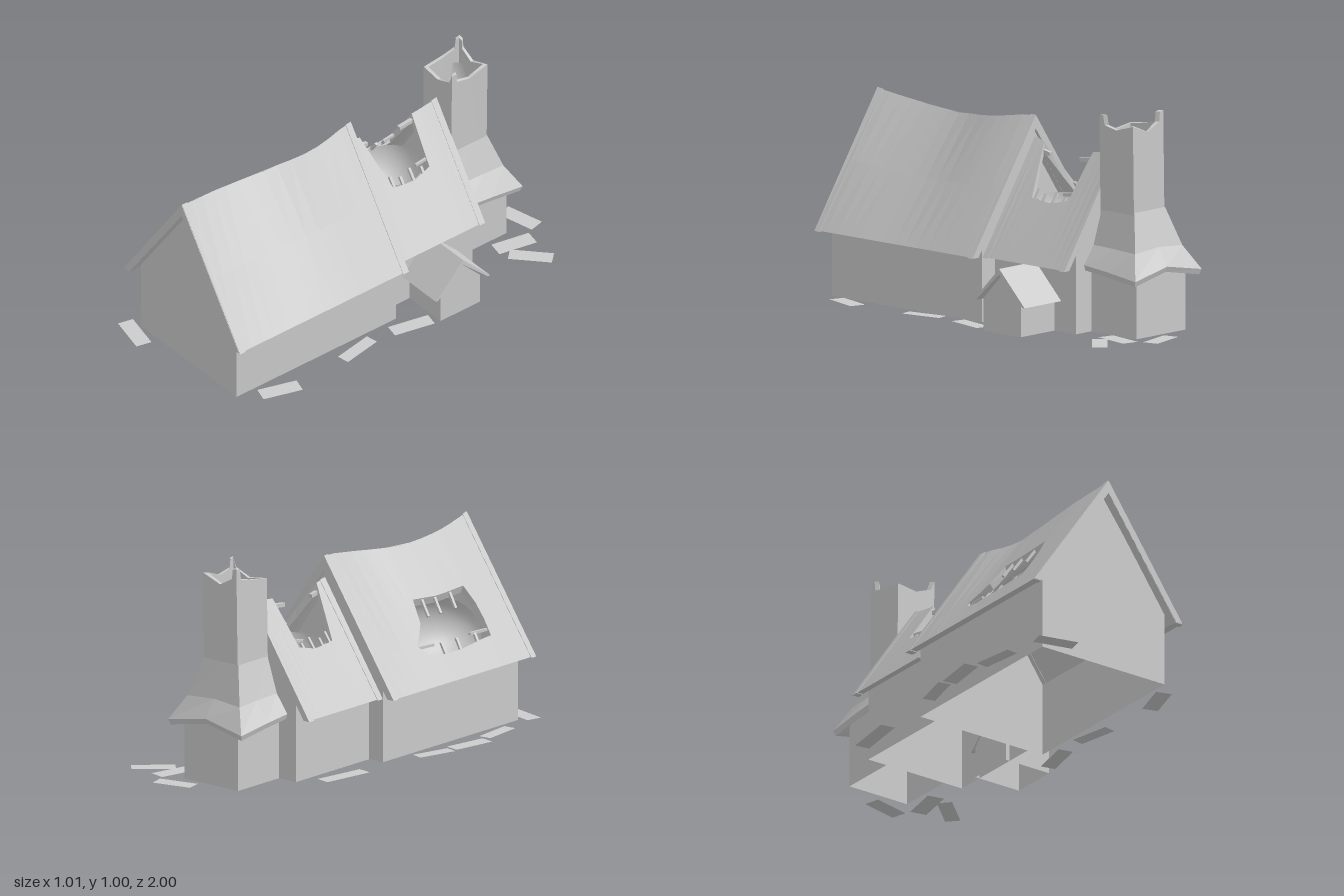
import * as THREE from 'three';

const flat = new THREE.MeshStandardMaterial({ color: 0xcccccc, flatShading: true, side: THREE.DoubleSide });
const smooth = new THREE.MeshStandardMaterial({ color: 0xcccccc, side: THREE.DoubleSide });
const V = (x, y, z) => new THREE.Vector3(x, y, z);

function add(parent, name, geometry, material = flat) {
  const mesh = new THREE.Mesh(geometry, material);
  mesh.name = name;
  parent.add(mesh);
  return mesh;
}

// Surface through closed cross-sections, with flat ends or joined into a ring
function skin(sections, { ring = false, caps = true, open = false } = {}) {
  const n = sections[0].length, pos = [], idx = [];
  sections.forEach(s => s.forEach(p => pos.push(p.x, p.y, p.z)));
  const rows = ring ? sections.length : sections.length - 1;
  for (let i = 0; i < rows; i++) {
    for (let j = 0; j < (open ? n - 1 : n); j++) {
      const a = i * n + j, b = i * n + (j + 1) % n;
      const c = ((i + 1) % sections.length) * n;
      const d = c + j, e = c + (j + 1) % n;
      idx.push(a, b, e, a, e, d);
    }
  }
  if (!ring && caps) {
    const last = (sections.length - 1) * n;
    for (let j = 1; j < n - 1; j++) idx.push(0, j + 1, j, last, last + j, last + j + 1);
  }
  const g = new THREE.BufferGeometry();
  g.setAttribute('position', new THREE.Float32BufferAttribute(pos, 3));
  g.setIndex(idx);
  g.computeVertexNormals();
  return g;
}

// Hollow walls with two gable ends, open underneath
function walls(parent, name, w, side, apex, z0, z1) {
  const shape = new THREE.Shape([[-w, 0], [w, 0], [w, side], [0, apex], [-w, side]].map(p => new THREE.Vector2(...p)));
  add(parent, name + 'FrontGable', new THREE.ShapeGeometry(shape)).position.z = z1;
  const back = add(parent, name + 'BackGable', new THREE.ShapeGeometry(shape));
  back.position.z = z0;
  back.rotation.y = Math.PI;
  for (const s of [-1, 1]) {
    const m = add(parent, name + 'SideWall', new THREE.PlaneGeometry(z1 - z0, side));
    m.position.set(s * w, side / 2, (z0 + z1) / 2);
    m.rotation.y = s * Math.PI / 2;
  }
}

// Points on the upper and lower face of a pitched roof, u measured from the ridge
function roofPoint(r, s, u, z, lower, lift = 0) {
  const k = u / r.U, ridge = r.ridge(z);
  const x = s * (u - (lower ? 0.085 * u : 0)) + r.shift(z) * (1 - k);
  return V(x, ridge + (r.eave - ridge) * k - (lower ? r.t * (1 - k) : 0) + lift, z);
}

// Pitched roof; hole rows are [z, upper edge, lower edge] for one side
function roof(parent, name, r) {
  for (const s of [-1, 1]) {
    const hole = r.holes[s] || [];
    const rows = [...hole];
    const first = hole[0], last = hole[hole.length - 1];
    for (let i = 0; i <= 14; i++) {
      const z = r.z0 + (r.z1 - r.z0) * i / 14;
      if (!first) rows.push([z, r.U / 2, r.U / 2]);
      else if (z < first[0]) rows.push([z, first[1], first[2]]);
      else if (z > last[0]) rows.push([z, last[1], last[2]]);
    }
    rows.sort((a, b) => a[0] - b[0]);
    const band = f => skin(rows.map(row => {
      const [u, v] = f(row), z = row[0];
      return [roofPoint(r, s, u, z), roofPoint(r, s, v, z), roofPoint(r, s, v, z, true), roofPoint(r, s, u, z, true)];
    }));
    if (rows.some(row => row[1] > 0)) add(parent, name + 'UpperSlope', band(row => [0, row[1]]));
    add(parent, name + 'LowerSlope', band(row => [row[2], r.U]));
    // raised edge boards at both ends
    for (const z of r.boards || []) {
      add(parent, name + 'EdgeBoard', skin([z - 0.016, z + 0.016].map(q => [
        roofPoint(r, s, 0, q, false, 0.004), roofPoint(r, s, r.U + 0.005, q, false, 0.004),
        roofPoint(r, s, r.U, q, true, -0.003), roofPoint(r, s, 0, q, true)])));
    }
  }
}

// Square stick between two points
function stick(parent, name, a, b, d = 0.012) {
  const m = add(parent, name, new THREE.BoxGeometry(d, d, a.distanceTo(b)));
  m.position.copy(a).lerp(b, 0.5);
  m.lookAt(b);
}

// Rounded hollow under a broken opening
function bowl(parent, name, p, scale, tilt = 0) {
  const m = add(parent, name, new THREE.SphereGeometry(1, 24, 10, 0, Math.PI * 2, Math.PI / 2, Math.PI / 2), smooth);
  m.position.set(...p);
  m.scale.set(...scale);
  m.rotation.z = tilt;
}

export function createModel() {
  const model = new THREE.Group();
  model.name = 'ruinedChurch';
  const group = name => {
    const g = new THREE.Group();
    g.name = name;
    model.add(g);
    return g;
  };

  // Nave with sagging, crooked ridge and a hole in one slope
  const nave = group('nave');
  const wave = new THREE.CatmullRomCurve3([V(0, 0, -0.06), V(0.02, 0, 0.24), V(-0.02, 0, 0.48), V(-0.028, 0, 0.68), V(0, 0, 0.92)]);
  const naveRoof = {
    z0: -0.055, z1: 0.92, U: 0.41, eave: 0.305, t: 0.06, boards: [-0.042, 0.902],
    ridge: z => 0.85 + 0.05 * Math.min(1, Math.abs((z - 0.46) / 0.46)) ** 1.7,
    shift: z => wave.getPoint(THREE.MathUtils.clamp((z + 0.06) / 0.98, 0, 1)).x,
    holes: { '-1': [[0.25, 0.29, 0.29], [0.29, 0.265, 0.32], [0.335, 0.23, 0.325], [0.36, 0.16, 0.33], [0.5, 0.165, 0.33],
      [0.58, 0.165, 0.325], [0.685, 0.165, 0.32], [0.71, 0.22, 0.32], [0.716, 0.27, 0.27]] },
  };
  walls(nave, 'nave', 0.34, 0.345, 0.835, -0.045, 0.88);
  roof(nave, 'naveRoof', naveRoof);
  bowl(nave, 'naveHollow', [-0.225, 0.47, 0.49], [0.17, 0.17, 0.25], 0.96);
  const naveStick = (u0, z0, u1, z1) => stick(nave, 'brokenBatten',
    roofPoint(naveRoof, -1, u0, z0, false, -0.02), roofPoint(naveRoof, -1, u1, z1, false, -0.02));
  for (const z of [0.4, 0.5, 0.62]) naveStick(0.34, z, 0.285, z + 0.01);
  for (const z of [0.42, 0.5, 0.6]) naveStick(0.15, z, 0.205, z - 0.01);
  naveStick(0.285, 0.24, 0.285, 0.36);
  naveStick(0.29, 0.72, 0.285, 0.6);

  // Chancel with the ridge broken through
  const chancel = group('chancel');
  const gap = [[-0.41, 0, 0], [-0.395, 0, 0.145], [-0.3, 0, 0.16], [-0.18, 0, 0.155], [-0.15, 0, 0.09], [-0.11, 0, 0]];
  const chancelRoof = {
    z0: -0.555, z1: -0.05, U: 0.34, eave: 0.3, t: 0.05, boards: [-0.54, -0.07],
    ridge: z => 0.775 + 0.025 * Math.abs((z + 0.3) / 0.25) ** 2, shift: () => 0,
    holes: { '-1': gap, 1: gap },
  };
  walls(chancel, 'chancel', 0.26, 0.36, 0.745, -0.55, -0.05);
  roof(chancel, 'chancelRoof', chancelRoof);
  bowl(chancel, 'chancelHollow', [0, 0.55, -0.28], [0.15, 0.18, 0.16]);
  for (const s of [-1, 1]) {
    [-0.36, -0.3, -0.24, -0.19].forEach((z, i) => stick(chancel, 'brokenBatten',
      roofPoint(chancelRoof, s, 0.17, z, false, -0.02), roofPoint(chancelRoof, s, 0.125 - 0.01 * (i % 2), z, false, -0.02)));
    stick(chancel, 'brokenPurlin', V(s * 0.115, 0.6, -0.41), V(s * 0.115, 0.59, -0.34));
  }
  stick(chancel, 'brokenRidgeBeam', V(0, 0.745, -0.43), V(0, 0.735, -0.335), 0.018);
  stick(chancel, 'brokenRidgeBeam', V(0, 0.75, -0.08), V(0, 0.735, -0.15), 0.018);

  // Side porch, built along z and turned to face +x
  const porch = group('porch');
  walls(porch, 'porch', 0.115, 0.15, 0.27, 0.24, 0.48);
  roof(porch, 'porchRoof', {
    z0: 0.24, z1: 0.5, U: 0.157, eave: 0.14, t: 0.025, ridge: () => 0.3, shift: () => 0, holes: {},
  });
  porch.rotation.y = Math.PI / 2;
  porch.position.z = -0.302;

  // Tower base
  const tower = group('tower');
  const base = [[-0.16, -0.55], [-0.16, -0.83], [0.16, -0.83], [0.16, -0.55]];
  add(tower, 'towerBase', skin([0, 0.32].map(y => base.map(([x, z]) => V(x, y, z))), { caps: false }));

  // Flared three-sided skirt roof with an uneven eave
  const skirt = [[0.1, -0.76, 0.56, 0], [0.155, -0.815, 0.39, 0.3], [0.218, -0.876, 0.29, 1], [0.21, -0.866, 0.265, 1], [0.14, -0.8, 0.33, 0.3]];
  add(tower, 'towerSkirtRoof', skin(skirt.map(([w, zb, y, k]) =>
    [[-w, -0.56, 0.022], [-w, -0.7, 0.008], [-w, zb, -0.015], [0, zb + 0.008 * k, 0.025], [w, zb, -0.015], [w, -0.7, 0.008], [w, -0.56, 0.022]]
      .map(([x, z, dy]) => V(x, y + dy * k, z))), { caps: false, open: true }));

  // Hollow shaft with a broken rim: unit position and height
  const rim = [[-1, -1, 1.005], [-0.78, -1, 1.0], [-0.72, -1, 0.955], [0, -1, 0.918], [1, -1, 0.955], [1, 0, 0.925],
    [1, 0.7, 0.94], [1, 0.78, 0.985], [1, 1, 0.985], [0.82, 1, 0.94], [0, 1, 0.908], [-1, 1, 0.922], [-1, 0, 0.935],
    [-1, -0.7, 0.95], [-1, -0.78, 1.0]];
  const shaftPoint = (x, z, y, k) => V(x * 0.1 * k + 0.01 * Math.max(0, (y - 0.6) / 0.35), y, -0.657 + z * 0.103 * k);
  add(tower, 'towerShaft', skin(rim.map(([x, z, h]) =>
    [shaftPoint(x, z, 0.3, 1), shaftPoint(x, z, h, 1), shaftPoint(x, z, h, 0.85), shaftPoint(x, z, 0.3, 0.85)]), { ring: true }));
  bowl(tower, 'towerHollow', [0.008, 0.88, -0.657], [0.1, 0.2, 0.1]);

  // Fallen roof slabs: x, z, width, depth, turn
  const debris = group('fallenSlabs');
  for (const [x, z, w, d, turn] of [
    [0.12, -0.94, 0.19, 0.075, 0.24], [0.25, -0.8, 0.08, 0.19, -0.2], [0.37, -0.8, 0.2, 0.07, 0.75],
    [-0.37, -0.35, 0.07, 0.25, -0.15], [0.43, -0.06, 0.07, 0.2, -0.22], [0.415, 0.24, 0.06, 0.2, 0.18],
    [0.43, 0.7, 0.075, 0.19, -0.3], [-0.43, 0.2, 0.06, 0.19, -0.25], [-0.455, 0.415, 0.07, 0.21, -0.15],
    [-0.42, 0.645, 0.06, 0.2, 0.12], [-0.31, 0.94, 0.19, 0.075, -0.23],
  ]) {
    const m = add(debris, 'slab', new THREE.PlaneGeometry(w, d).rotateX(-Math.PI / 2));
    m.position.set(x, 0.008, z);
    m.rotation.y = turn;
  }
  return model;
}
